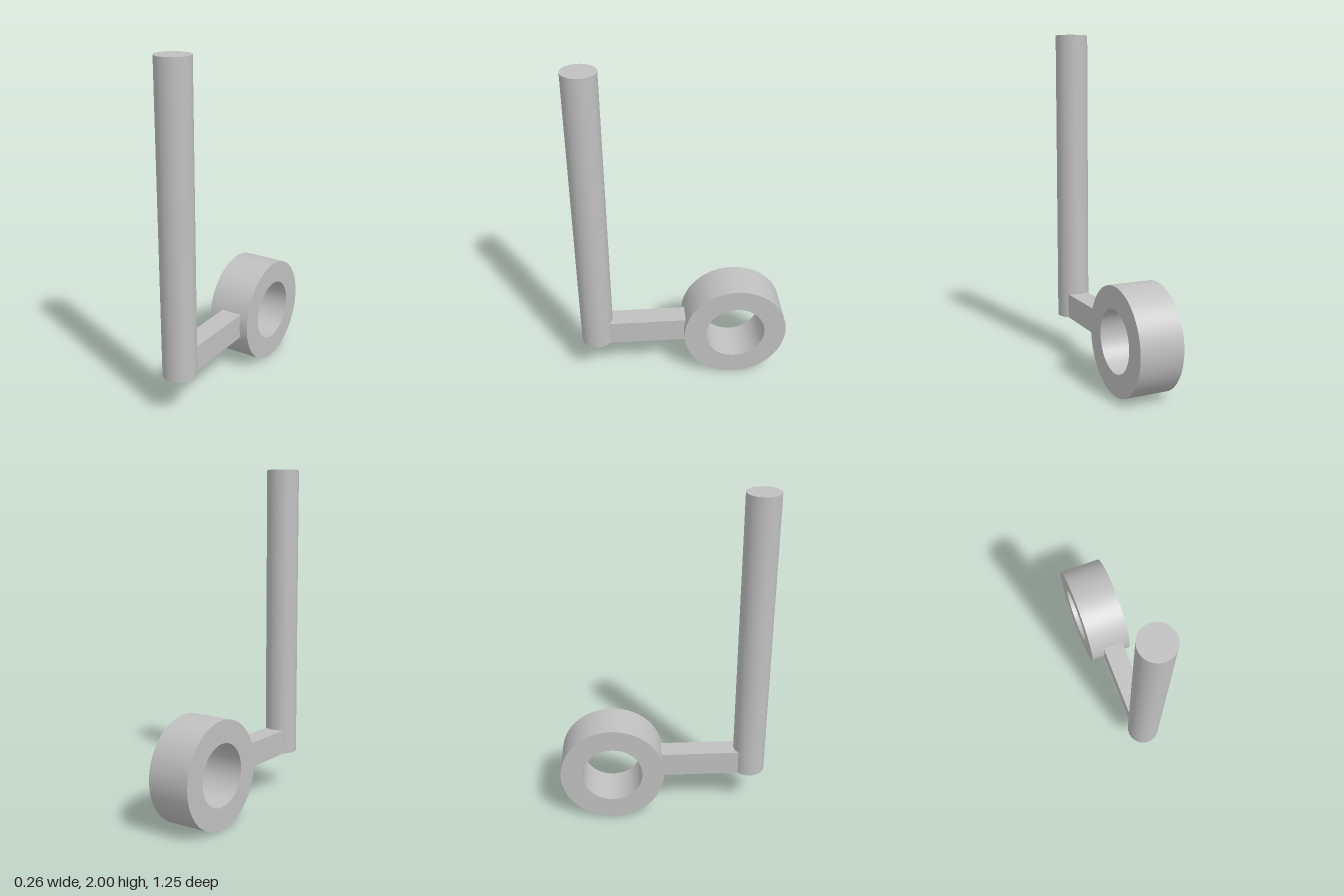
import * as THREE from 'three';

export function createModel() {
  const group = new THREE.Group();
  const grey = new THREE.MeshStandardMaterial({ color: 0xc0c0c0 });
  grey.name = 'plain grey';

  const add = (name, geometry, x, y, z) => {
    const mesh = new THREE.Mesh(geometry, grey);
    mesh.name = name;
    mesh.position.set(x, y, z);
    group.add(mesh);
    return mesh;
  };

  // upright round rod
  add('rod', new THREE.CylinderGeometry(0.097, 0.097, 1.76, 64), 0.017, 1.12, 0.528);

  // square bar joining rod and ring, its ends buried in both
  add('connectingBar', new THREE.BoxGeometry(0.127, 0.15, 0.52), 0.0165, 0.315, 0.22);

  // thick ring: each wall of the section has its own points, so edges stay sharp
  const outer = 0.311, inner = 0.18, half = 0.13;
  const corners = [[inner, -half], [outer, -half], [outer, half], [inner, half]];
  const ring = new THREE.Group();
  ring.name = 'ring';
  ring.position.set(0, 0.311, -0.314);
  ring.rotation.z = Math.PI / 2;
  ['sideA', 'outerWall', 'sideB', 'innerWall'].forEach((name, i) => {
    const wall = [corners[i], corners[(i + 1) % 4]].map(([r, y]) => new THREE.Vector2(r, y));
    const mesh = new THREE.Mesh(new THREE.LatheGeometry(wall, 96), grey);
    mesh.name = name;
    ring.add(mesh);
  });
  group.add(ring);

  return group;
}
